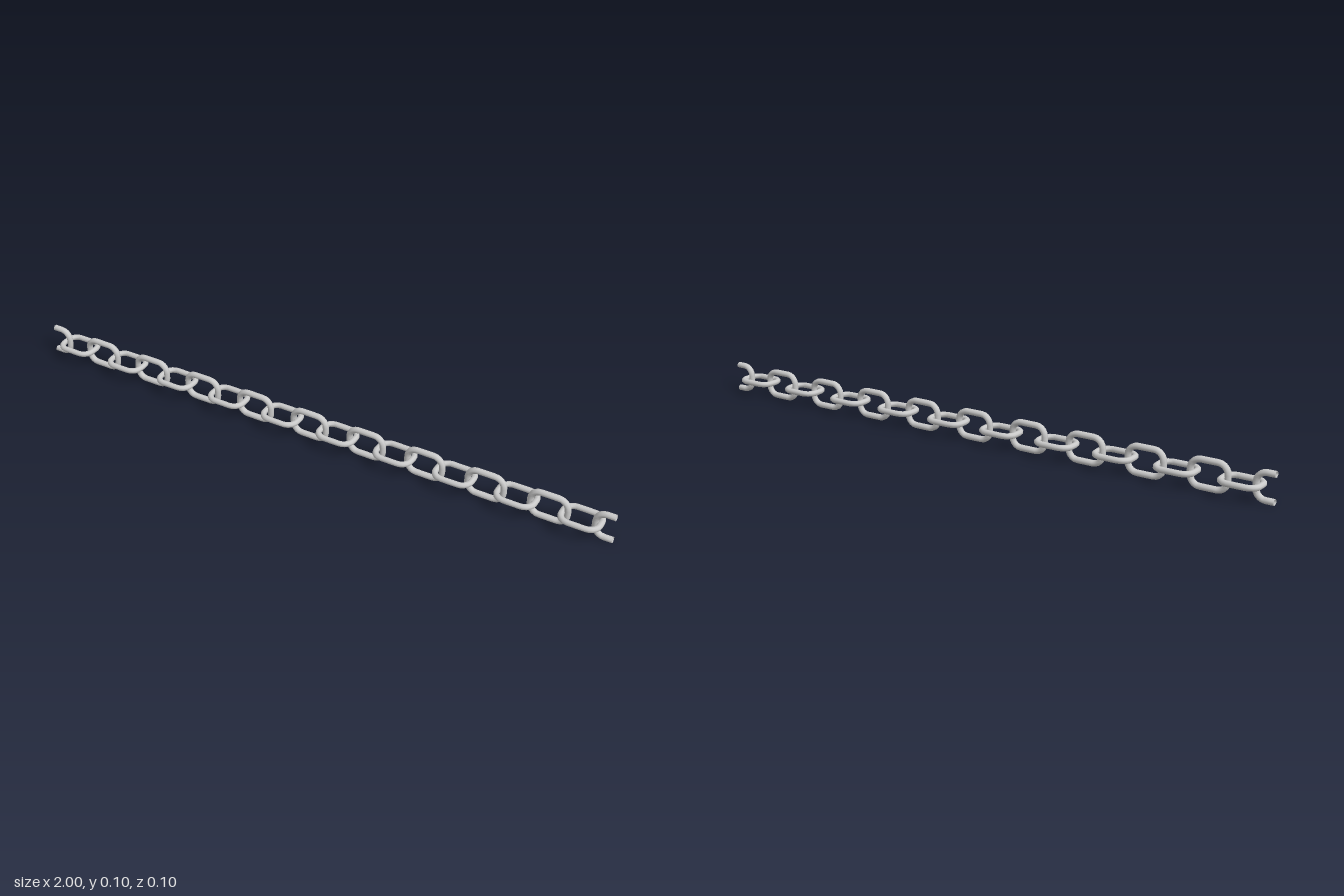
import * as THREE from 'three';

const HALF_LENGTH = 0.058, HALF_WIDTH = 0.041; // centreline of a link
const CORNER = 0.031, CORNER_STEPS = 5, SIDES = 8;

// Half of a link's centreline (+x end), counter-clockwise, with outward normals
function halfPath() {
  const points = [{ x: 0, y: -HALF_WIDTH, nx: 0, ny: -1 }];
  for (const side of [-1, 1]) {
    for (let i = 0; i <= CORNER_STEPS; i++) {
      const t = (i / CORNER_STEPS + (side < 0 ? -1 : 0)) * Math.PI / 2;
      const nx = Math.cos(t), ny = Math.sin(t);
      points.push({
        x: HALF_LENGTH - CORNER + CORNER * nx,
        y: side * (HALF_WIDTH - CORNER) + CORNER * ny,
        nx, ny,
      });
    }
  }
  points.push({ x: 0, y: HALF_WIDTH, nx: 0, ny: 1 });
  return points;
}

// Sweep an eight-sided wire section along the path
function wireGeometry(path, closed, halfThick, halfDepth) {
  const positions = [], indices = [];
  const grow = 1 / Math.cos(Math.PI / SIDES);
  for (const p of path) {
    for (let j = 0; j < SIDES; j++) {
      const a = (j + 0.5) * 2 * Math.PI / SIDES;
      const out = Math.cos(a) * halfThick * grow;
      positions.push(p.x + p.nx * out, p.y + p.ny * out, Math.sin(a) * halfDepth * grow);
    }
  }
  const spans = closed ? path.length : path.length - 1;
  for (let i = 0; i < spans; i++) {
    const next = (i + 1) % path.length;
    for (let j = 0; j < SIDES; j++) {
      const k = (j + 1) % SIDES;
      const a = i * SIDES + j, b = next * SIDES + j;
      const c = next * SIDES + k, d = i * SIDES + k;
      indices.push(a, b, d, b, c, d);
    }
  }
  const geometry = new THREE.BufferGeometry();
  geometry.setAttribute('position', new THREE.Float32BufferAttribute(positions, 3));
  geometry.setIndex(indices);
  geometry.computeVertexNormals();
  return geometry;
}

export function createModel() {
  const group = new THREE.Group();
  group.name = 'chain';
  const material = new THREE.MeshStandardMaterial({ color: 0xcccccc, side: THREE.DoubleSide });

  const half = halfPath();
  const otherHalf = half.map(p => ({ x: -p.x, y: -p.y, nx: -p.nx, ny: -p.ny }));
  const full = [...half.slice(0, -1), ...otherHalf.slice(0, -1)];

  const uprightLink = wireGeometry(full, true, 0.009, 0.01);
  const flatLink = wireGeometry(full, true, 0.009, 0.0085).rotateX(Math.PI / 2);
  const openLink = wireGeometry(half, false, 0.009, 0.01);

  const add = (geometry, name, x) => {
    const mesh = new THREE.Mesh(geometry, material);
    mesh.name = name;
    mesh.position.set(x, 0.05, 0);
    group.add(mesh);
    return mesh;
  };

  // Alternating upright and flat links
  for (let i = -9; i <= 9; i++) {
    const flat = i % 2 !== 0;
    add(flat ? flatLink : uprightLink, flat ? 'flatLink' : 'uprightLink', i * 0.1);
  }

  // Open half links at both ends
  add(openLink, 'rightHalfLink', -1);
  add(openLink, 'leftHalfLink', 1).rotation.z = Math.PI;

  return group;
}
